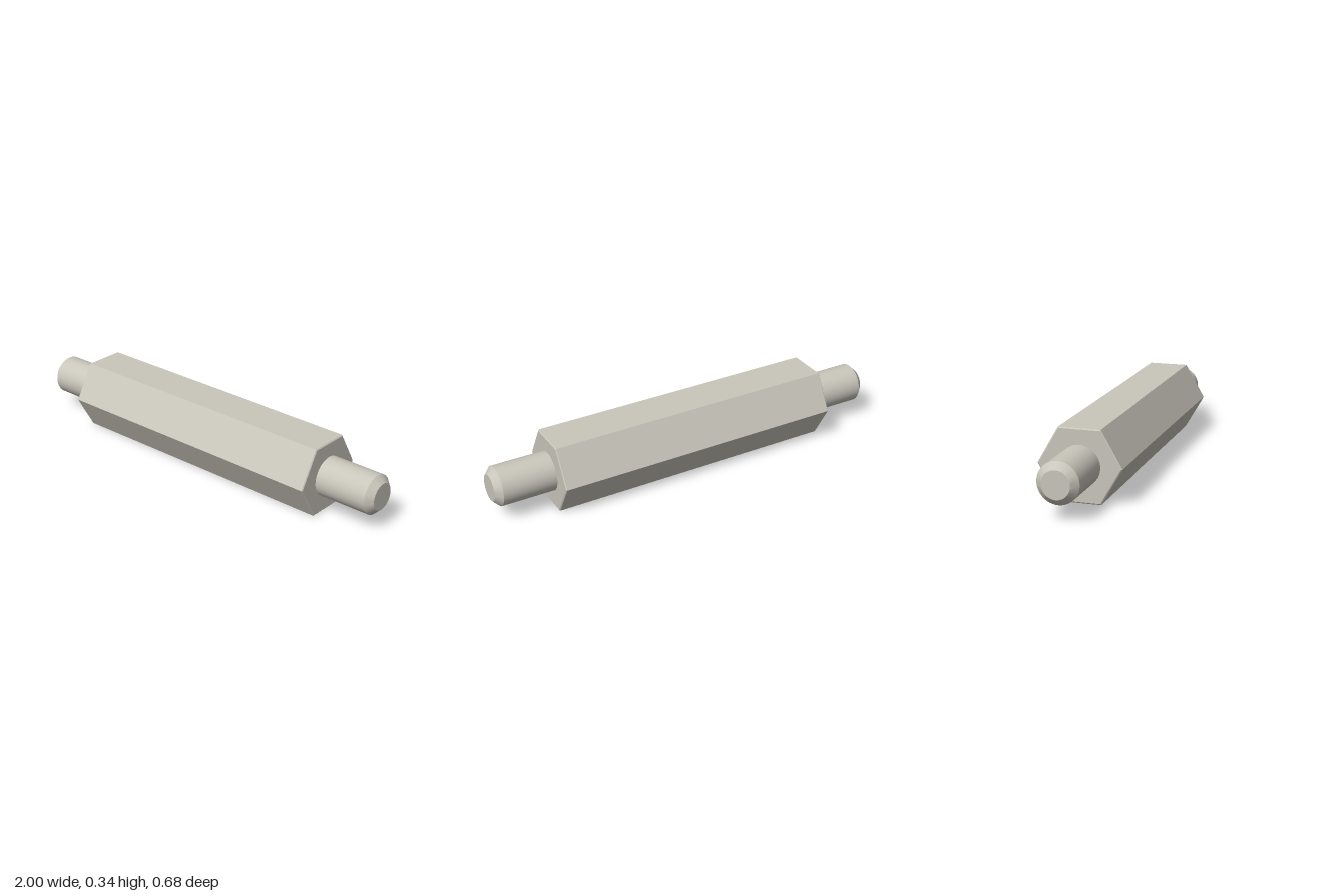
import * as THREE from 'three';
import { toCreasedNormals } from 'three/addons/utils/BufferGeometryUtils.js';

// Turned bar along +x, from [radius, position] pairs
function turned(name, profile, sides, material) {
  const points = profile.map(([r, p]) => new THREE.Vector2(r, p));
  const geometry = new THREE.LatheGeometry(points, sides);
  geometry.rotateZ(-Math.PI / 2);
  const mesh = new THREE.Mesh(toCreasedNormals(geometry, 0.5), material);
  mesh.name = name;
  return mesh;
}

export function createModel() {
  const metal = new THREE.MeshStandardMaterial({ color: 0xc9c6bb });
  metal.name = 'warm grey metal';

  const model = new THREE.Group();
  model.name = 'hexStandoff';

  const R = 0.194, bevel = 0.006, half = 0.716; // hexagonal body
  const r = 0.095, chamfer = 0.031, tip = 1.007; // end studs

  // Hexagonal body with slightly bevelled ends, flats at top and bottom
  model.add(turned('hexBody', [
    [0, -half], [R - bevel, -half], [R, -half + 0.004],
    [R, half - 0.004], [R - bevel, half], [0, half],
  ], 6, metal));

  // Chamfered round stud at each end
  for (const [name, turn] of [['leftStud', 0], ['rightStud', Math.PI]]) {
    const stud = turned(name, [
      [r, half - 0.01], [r, tip - chamfer], [r - chamfer, tip], [0, tip],
    ], 48, metal);
    stud.rotation.y = turn;
    model.add(stud);
  }

  // Lies on a flat, turned a little about the vertical
  model.rotation.y = -THREE.MathUtils.degToRad(12);
  model.position.y = R * Math.cos(Math.PI / 6);

  const root = new THREE.Group();
  root.name = 'standoff';
  root.add(model);
  return root;
}
